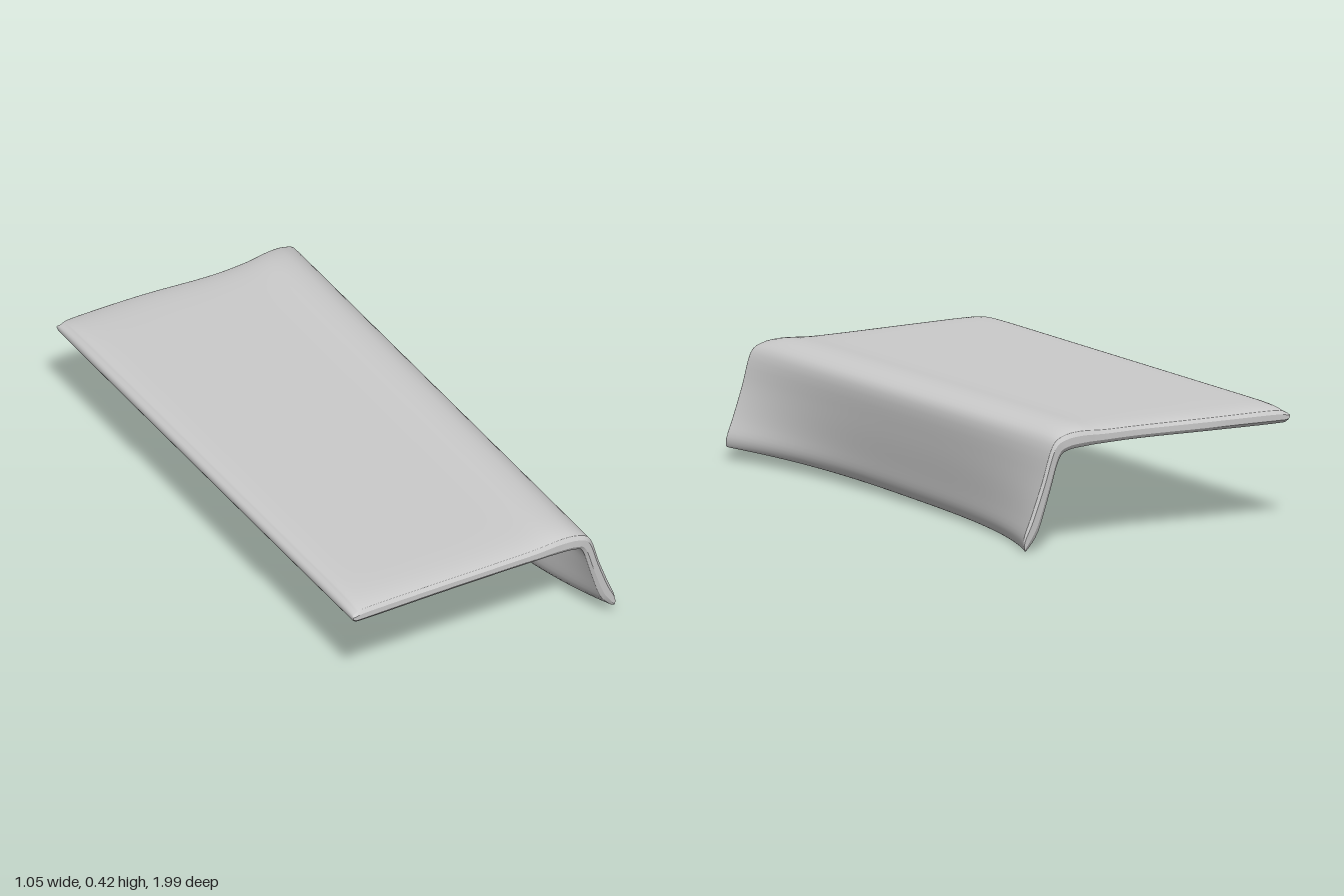
import * as THREE from 'three';

// Cross-sections [x, y]: left rim, over the top, down to the hem tip, back along the inside.
// Point k of the outer face pairs with point 24 - k of the inner face.
const MIDDLE = [
  [-0.525, 0.38], [-0.51, 0.4], [-0.46, 0.416], [-0.2, 0.414], [0.05, 0.412], [0.2, 0.414],
  [0.3, 0.421], [0.37, 0.408], [0.415, 0.365], [0.42, 0.25], [0.415, 0.13], [0.41, 0.06],
  [0.39, 0.024],
  [0.365, 0.028], [0.345, 0.08], [0.355, 0.2], [0.378, 0.3], [0.35, 0.311], [0.28, 0.307],
  [0.2, 0.301], [0.05, 0.302], [-0.2, 0.315], [-0.46, 0.346], [-0.515, 0.357],
];
const END = [
  [-0.525, 0.38], [-0.51, 0.39], [-0.46, 0.398], [-0.2, 0.398], [0.05, 0.396], [0.2, 0.396],
  [0.3, 0.402], [0.37, 0.395], [0.418, 0.365], [0.455, 0.25], [0.495, 0.14], [0.522, 0.07],
  [0.518, 0.03],
  [0.505, 0.035], [0.465, 0.09], [0.425, 0.21], [0.39, 0.32], [0.355, 0.346], [0.28, 0.353],
  [0.2, 0.355], [0.05, 0.357], [-0.2, 0.358], [-0.46, 0.356], [-0.515, 0.36],
];
const SIDES = 96;
const ROWS = 56;

// Section at s in -1..1; the top edge rolls off late, the flap flares gradually
function section(s, pinch) {
  const a = Math.abs(s);
  const pts = MIDDLE.map(([mx, my], i) => {
    const power = i >= 1 && i <= 7 ? 20 : i >= 8 && i <= 16 ? 2.8 : 4;
    const w = a ** power;
    const [ex, ey] = END[i];
    const x = mx + (ex - mx) * w;
    let y = my + (ey - my) * w;
    const drop = THREE.MathUtils.clamp((0.38 - y) / 0.35, 0, 1);
    const onFlap = i >= 8 && i <= 16 ? drop : 0;
    y += 0.022 * s * onFlap;                       // hem hangs lower at the back
    let z = s * 0.995;
    if (s > 0) z -= 0.015 * onFlap * s;
    else z += a ** 6 * (0.025 * Math.exp(-(((x - 0.1) / 0.22) ** 2)) + 0.03 * onFlap);
    return new THREE.Vector3(x, y, z);
  });
  const ring = new THREE.CatmullRomCurve3(pts, true, 'catmullrom', 0.5);
  const out = [];
  for (let i = 0; i < SIDES; i++) out.push(ring.getPoint(i / SIDES));
  // pull both faces together to round the end rim
  return out.map((p, i) => p.clone().lerp(out[(SIDES - i) % SIDES], pinch));
}

function drapeGeometry() {
  const rings = [];
  for (let j = 0; j <= ROWS; j++) {
    const s = Math.sin((j / ROWS - 0.5) * Math.PI); // rows crowd toward the ends
    rings.push(section(s * 0.992, 0));
  }
  rings.unshift(section(-1, 0.25));
  rings.push(section(1, 0.25));

  const pos = [];
  const index = [];
  const addRing = (ring) => {
    const start = pos.length / 3;
    ring.forEach((p) => pos.push(p.x, p.y, p.z));
    return start;
  };
  rings.forEach(addRing);
  for (let j = 0; j < rings.length - 1; j++) {
    for (let i = 0; i < SIDES; i++) {
      const n = (i + 1) % SIDES;
      const a = j * SIDES + i, b = j * SIDES + n;
      index.push(a, a + SIDES, b, b, a + SIDES, b + SIDES);
    }
  }
  // end caps: strips joining outer face to inner face
  for (const front of [false, true]) {
    const o = addRing(front ? rings[rings.length - 1] : rings[0]);
    for (let k = 0; k < SIDES / 2; k++) {
      const a = o + k, b = o + k + 1;
      const c = o + ((SIDES - k) % SIDES), d = o + SIDES - k - 1;
      const tris = [[a, c, b], [b, c, d]];
      for (const [p, q, r] of tris) {
        if (p === q || q === r || p === r) continue;
        if (front) index.push(p, q, r);
        else index.push(p, r, q);
      }
    }
  }
  const geo = new THREE.BufferGeometry();
  geo.setAttribute('position', new THREE.Float32BufferAttribute(pos, 3));
  geo.setIndex(index);
  geo.computeVertexNormals();
  return geo;
}

export function createModel() {
  const group = new THREE.Group();
  group.name = 'drapedBlanket';
  const cloth = new THREE.Mesh(
    drapeGeometry(),
    new THREE.MeshStandardMaterial({ color: 0xcccccc }),
  );
  cloth.name = 'blanket';
  group.add(cloth);

  // stand on the ground, centred
  const box = new THREE.Box3().setFromObject(group);
  const c = box.getCenter(new THREE.Vector3());
  cloth.position.set(-c.x, -box.min.y, -c.z);
  return group;
}
